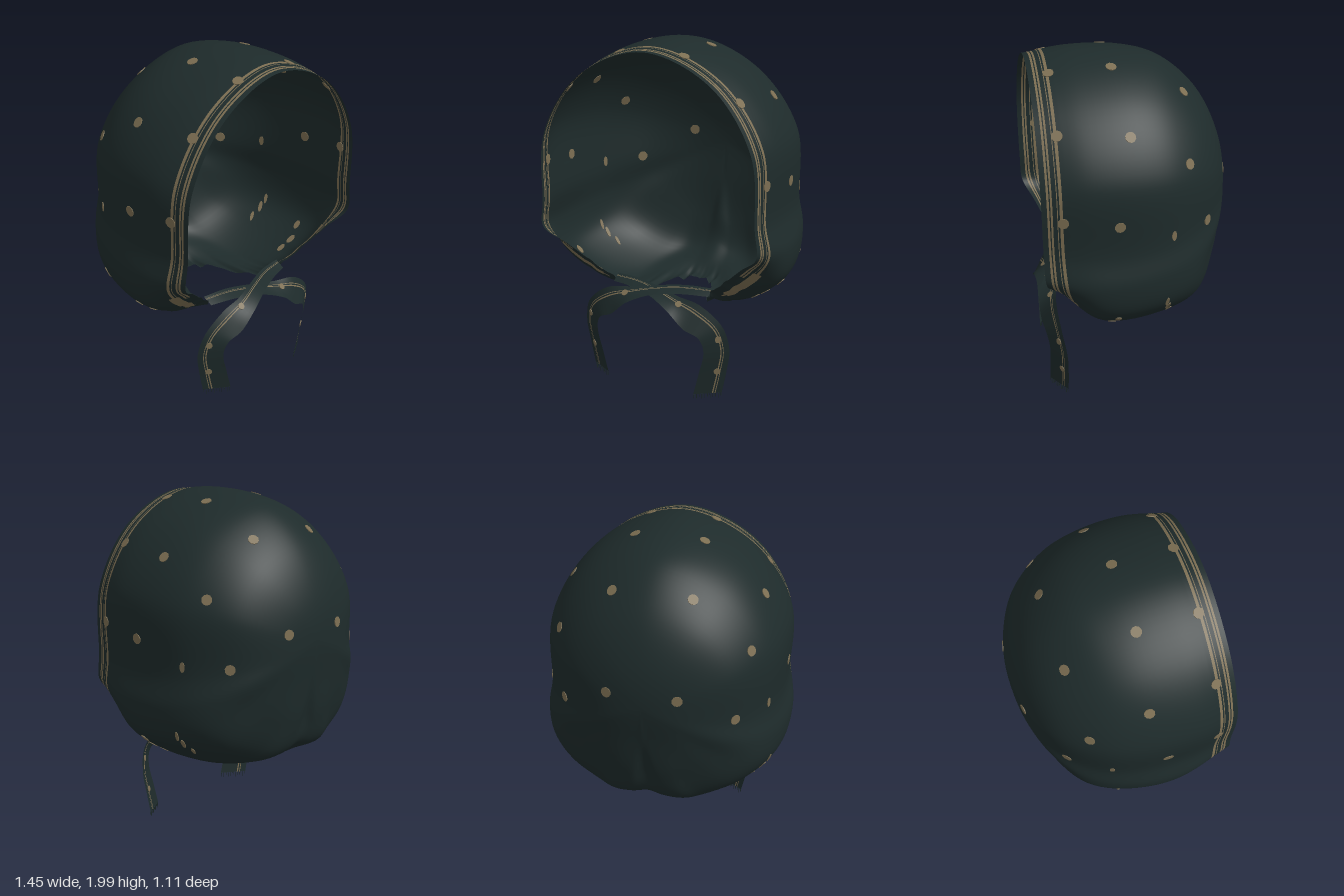
import * as THREE from 'three';

const cloth = new THREE.MeshStandardMaterial({ color: 0x1e2b2b, side: THREE.DoubleSide });
cloth.name = 'dark cloth';
const gold = new THREE.MeshStandardMaterial({ color: 0x7c6e52, side: THREE.DoubleSide });
gold.name = 'dull gold';

// Meridians of the hood, from the back pole to the edge:
// angle from the top, then pairs of radius and z
const CENTRE_Y = 1.25;
const MERIDIANS = [
  [0, .25, -.52, .49, -.40, .67, -.20, .733, 0, .748, .30, .715, .55],
  [35, .25, -.52, .48, -.40, .64, -.20, .71, 0, .722, .30, .685, .55],
  [70, .25, -.52, .48, -.40, .635, -.20, .70, 0, .715, .30, .66, .55],
  [105, .25, -.525, .47, -.41, .63, -.22, .70, -.01, .71, .29, .67, .545],
  [117, .25, -.53, .50, -.43, .69, -.26, .79, -.02, .81, .27, .735, .535],
  [128, .25, -.53, .50, -.44, .735, -.29, .85, -.04, .86, .26, .696, .475],
  [140, .25, -.53, .50, -.46, .74, -.33, .845, -.07, .85, .23, .686, .418],
  [155, .25, -.53, .50, -.48, .72, -.37, .83, -.11, .83, .15, .716, .34],
  [163, .25, -.53, .50, -.49, .70, -.41, .78, -.22, .80, 0, .78, .22],
  [172, .25, -.53, .50, -.49, .66, -.43, .73, -.32, .78, -.20, .78, -.10],
  [180, .25, -.53, .46, -.48, .62, -.44, .70, -.34, .77, -.24, .775, -.18],
];
const KEYS = 20, COLS = 220;
const keyAt = c => Math.min(c, COLS - c) * KEYS / COLS;
// Gold lines along the front edge: range of the meridian, then range of keys.
// The last one widens under the cheeks.
const STRIPES = [
  [.962, .969, 0, 5.4], [.973, .981, 0, 5.4], [.944, .947, 0, 5.4], [.927, .938, 0, 6.8], [.915, .952, 5, 6.6],
];

function gridGeometry(pos, index, isGold) {
  const geo = new THREE.BufferGeometry();
  geo.setAttribute('position', new THREE.Float32BufferAttribute(pos, 3));
  const dark = [], light = [];
  index.forEach((quad, i) => {
    const [a, b, c, d] = quad;
    (isGold[i] ? light : dark).push(a, b, c, b, d, c);
  });
  geo.setIndex([...dark, ...light]);
  geo.addGroup(0, dark.length, 0);
  geo.addGroup(dark.length, light.length, 1);
  geo.computeVertexNormals();
  return geo;
}

function hoodGeometry() {
  // One closed loop per meridian step, mirrored left to right
  const loops = [];
  for (let j = 0; j < 6; j++) {
    const pts = [];
    for (let k = 0; k < KEYS; k++) {
      const m = MERIDIANS[Math.min(k, KEYS - k)];
      const a = THREE.MathUtils.degToRad(m[0]), r = m[1 + 2 * j];
      pts.push(new THREE.Vector3(Math.sin(a) * r * (k > KEYS / 2 ? -1 : 1), CENTRE_Y + Math.cos(a) * r, m[2 + 2 * j]));
    }
    loops.push(new THREE.CatmullRomCurve3(pts, true));
  }
  const rows = STRIPES.flatMap(s => [s[0], s[1]]);
  for (let i = 0; i <= 44; i++) rows.push(i / 44);
  rows.sort((a, b) => a - b);

  const pos = new Float32Array(rows.length * COLS * 3);
  for (let c = 0; c < COLS; c++) {
    const k = keyAt(c);
    const ring = loops.map(l => l.getPoint(c / COLS));
    // Starting beyond the pole keeps the back smooth
    const beyond = new THREE.Vector3(-ring[0].x, 2 * CENTRE_Y - ring[0].y, ring[0].z);
    const line = new THREE.CatmullRomCurve3([beyond, new THREE.Vector3(0, CENTRE_Y, -.558), ...ring]);
    rows.forEach((t, i) => {
      const p = line.getPoint((1 + 6 * t) / 7);
      // Gathers towards the neck
      const w = THREE.MathUtils.smoothstep(k, 5.4, 7.5) * THREE.MathUtils.smoothstep(t, .68, 1);
      const pleat = 1 + w * .012 * (Math.sin(9 * k) + .6 * Math.sin(15 * k + 1));
      pos.set([p.x * pleat, CENTRE_Y + (p.y - CENTRE_Y) * pleat, p.z], (i * COLS + c) * 3);
    });
  }
  const id = (i, c) => (i === 0 ? 0 : i * COLS + c % COLS);
  const quads = [], isGold = [];
  for (let i = 0; i < rows.length - 1; i++) {
    const mid = (rows[i] + rows[i + 1]) / 2;
    for (let c = 0; c < COLS; c++) {
      const k = keyAt(c);
      quads.push([id(i, c), id(i + 1, c), id(i, c + 1), id(i + 1, c + 1)]);
      isGold.push(STRIPES.some(s => mid > s[0] && mid < s[1] && k >= s[2] && k < s[3]));
    }
  }
  return gridGeometry(pos, quads, isGold);
}

// Thin spot lying on the surface nearest to a target point
function addSpot(parent, geo, target, sx = 1, sy = 1) {
  const p = geo.attributes.position, n = geo.attributes.normal;
  const v = new THREE.Vector3();
  let best = 0, dist = Infinity;
  for (let i = 0; i < p.count; i++) {
    const d = v.fromBufferAttribute(p, i).distanceToSquared(target);
    if (d < dist) { dist = d; best = i; }
  }
  const spot = new THREE.Mesh(new THREE.CylinderGeometry(.03, .03, .007, 10).rotateX(Math.PI / 2), gold);
  spot.name = 'spot';
  spot.position.fromBufferAttribute(p, best);
  spot.lookAt(v.fromBufferAttribute(n, best).add(spot.position));
  spot.scale.set(sx, sy, 1);
  parent.add(spot);
}

// Ribbon tie: centre and half-width vector towards its outer edge
const TIE = [
  [-.30, .60, .33, 0, .015, -.03], [-.15, .605, .37, 0, .012, -.045], [0, .595, .43, 0, .012, -.052],
  [.14, .56, .48, .01, .03, -.05], [.26, .505, .49, .035, .06, -.042], [.365, .43, .475, .055, .03, -.04],
  [.395, .32, .455, .06, .005, -.043], [.37, .18, .45, .065, 0, -.045], [.34, .05, .45, .068, 0, -.045],
];

function makeTie(side, lift) {
  const group = new THREE.Group();
  const centre = new THREE.CatmullRomCurve3(TIE.map(t => new THREE.Vector3(t[0], t[1], t[2])));
  const half = new THREE.CatmullRomCurve3(TIE.map(t => new THREE.Vector3(t[3], t[4], t[5])));
  const across = [-1, -.5, 0, .3, .4, .5, .56, .8, 1], steps = 60;
  const at = (t, s) => {
    const p = centre.getPoint(t).addScaledVector(half.getPoint(t), s);
    return p.set(p.x * side, p.y + lift * t, p.z);
  };
  const pos = [], quads = [], isGold = [], n = across.length;
  for (let i = 0; i <= steps; i++) across.forEach((s, j) => {
    pos.push(...at(i / steps, s).toArray());
    if (i < steps && j < n - 1) {
      quads.push([i * n + j, (i + 1) * n + j, i * n + j + 1, (i + 1) * n + j + 1]);
      isGold.push(j === 3 || j === 5);
    }
  });
  const geo = gridGeometry(pos, quads, isGold);
  const ribbon = new THREE.Mesh(geo, [cloth, gold]);
  ribbon.name = 'ribbon';
  group.add(ribbon);
  for (const t of [.4, .68, .87]) addSpot(group, geo, at(t, .2), .65, .65);
  // Frayed end
  for (let i = 0; i < 11; i++) {
    const len = .026 + .008 * Math.sin(i * 2.3);
    const thread = new THREE.Mesh(new THREE.CylinderGeometry(.003, .002, len, 4), cloth);
    thread.name = 'fringeThread';
    thread.position.copy(at(1, -.95 + i * .19));
    thread.position.y -= len / 2;
    group.add(thread);
  }
  return group;
}

export function createModel() {
  const model = new THREE.Group();
  model.name = 'bonnet';

  const geo = hoodGeometry();
  const hood = new THREE.Mesh(geo, [cloth, gold]);
  hood.name = 'hood';
  model.add(hood);

  // Spots scattered over the hood, mirrored: position, width and height
  const spots = new THREE.Group();
  spots.name = 'hoodSpots';
  const places = [
    [.21, 1.81, -.30], [.20, 1.96, .09], [.56, 1.72, .08], [.55, 1.51, -.27], [.205, 1.31, -.52],
    [.49, 1.15, -.36], [.70, 1.26, .13], [.19, 1.95, .44], [.51, 1.73, .44], [.66, 1.28, .44],
    // Spots squeezed by the gathers
    [.66, 1.13, -.16, .5, 1],
    [.49, .56, .16, .6, 1], [.57, .61, .16, .7, 1.1], [.64, .66, .16, .6, 1],
    [.58, .62, -.15, .35, 1.1], [.64, .68, -.15, .4, 1.2], [.67, .74, -.15, .35, 1.1],
  ];
  for (const side of [1, -1]) {
    for (const [x, y, z, sx, sy] of places) addSpot(spots, geo, new THREE.Vector3(x * side, y, z), sx, sy);
  }
  model.add(spots);

  const leftTie = makeTie(1, -.008);
  leftTie.name = 'leftTie';
  const rightTie = makeTie(-1, .025);
  rightTie.name = 'rightTie';
  model.add(leftTie, rightTie);
  return model;
}
